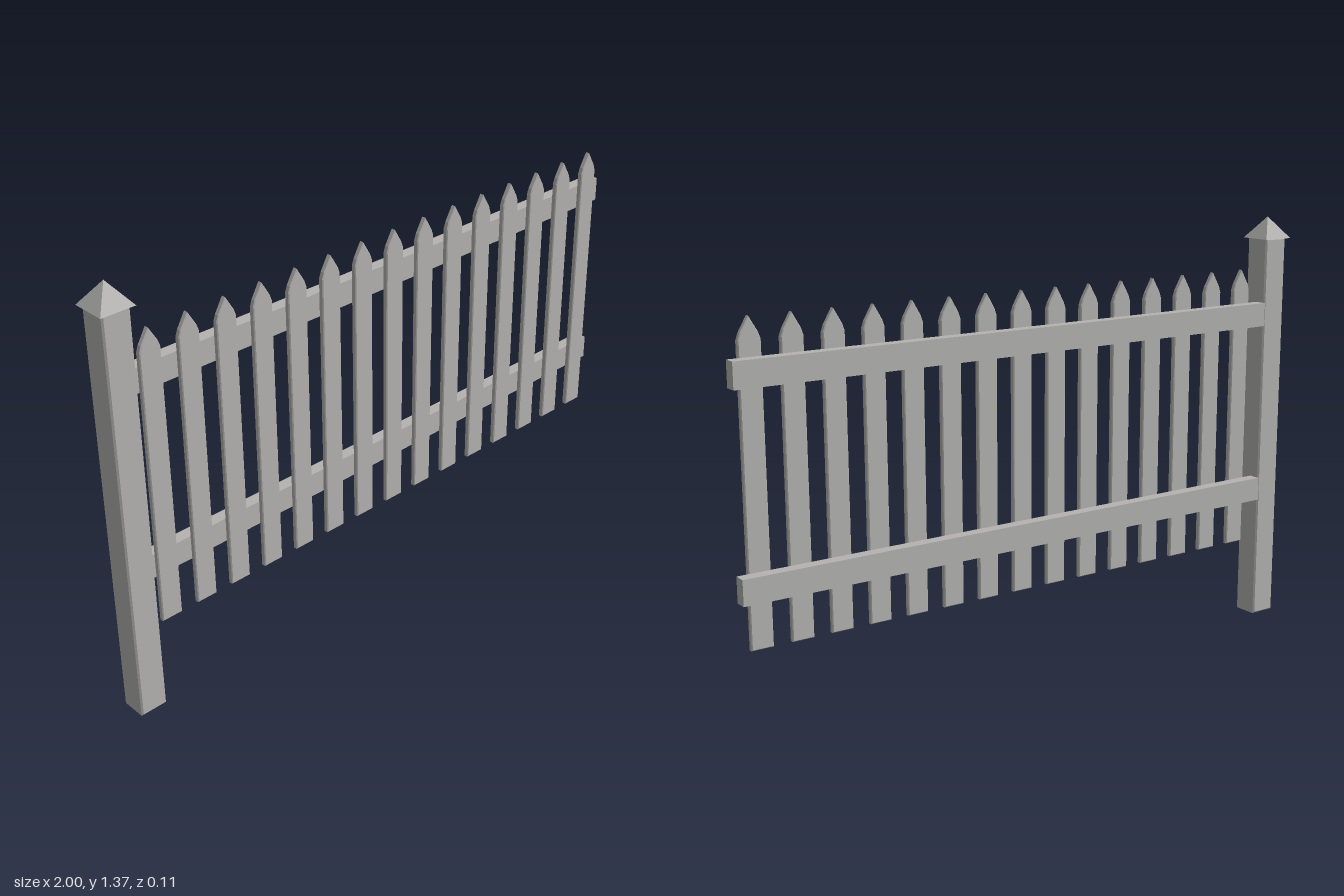
import * as THREE from 'three';

const wood = new THREE.MeshStandardMaterial({ color: 0xb4b3b1 });
wood.name = 'weatheredGrey';

function add(parent, name, geometry, x, y, z) {
  const flat = geometry.index ? geometry.toNonIndexed() : geometry;
  flat.computeVertexNormals();
  const mesh = new THREE.Mesh(flat, wood);
  mesh.name = name;
  mesh.position.set(x, y, z);
  parent.add(mesh);
  return mesh;
}

// Extrudes an outline with a narrow chamfer, centred on z; the outline gives the outer size
function chamfered(points, depth, bevel) {
  const shape = new THREE.Shape(points.map(([x, y]) => new THREE.Vector2(x, y)));
  const geometry = new THREE.ExtrudeGeometry(shape, {
    depth: depth - 2 * bevel, bevelEnabled: true, bevelSegments: 1,
    bevelSize: bevel, bevelThickness: bevel, bevelOffset: -bevel,
  });
  return geometry.translate(0, 0, bevel - depth / 2);
}

export function createModel() {
  const fence = new THREE.Group();
  fence.name = 'picketFence';

  // End post with chamfered edges and a pyramid cap
  const postX = -0.946, postH = 1.297, w = 0.0435;
  add(fence, 'post', chamfered([[-w, 0], [w, 0], [w, postH], [-w, postH]], 2 * w, 0.005), postX, 0, 0);
  const cap = new THREE.ConeGeometry(0.054 * Math.SQRT2, 0.07, 4, 1);
  cap.rotateY(Math.PI / 4);
  add(fence, 'postCap', cap, postX, 1.33, 0);

  // Two horizontal rails behind the pickets
  const railStart = -0.905, railLength = 1 - railStart;
  for (const [name, y] of [['lowerRail', 0.449], ['upperRail', 1.047]]) {
    add(fence, name, new THREE.BoxGeometry(railLength, 0.077, 0.039), railStart + railLength / 2, y, -0.0245);
  }

  // Row of pointed pickets
  const p = 0.034;
  const outline = [[-p, 0], [p, 0], [p, 0.868], [0.027, 0.888], [0, 0.934], [-0.027, 0.888], [-p, 0.868]];
  const picket = chamfered(outline, 0.018, 0.003);
  for (let i = 0; i < 15; i++) {
    add(fence, 'picket' + (i + 1), picket, -0.835 + i * 0.1261, 0.262, 0.004);
  }
  return fence;
}
